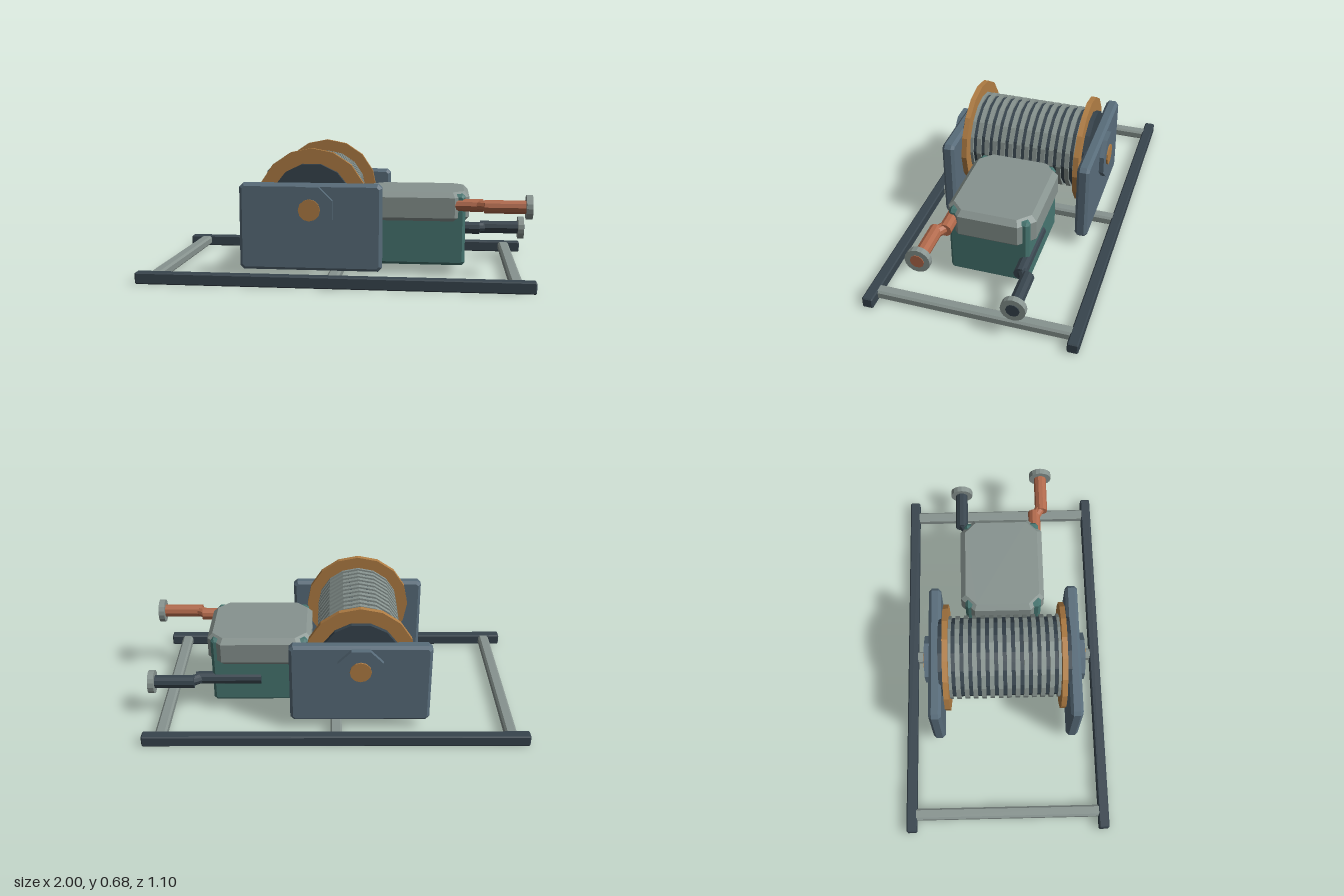
import * as THREE from 'three';

const mat = (name, color) => new THREE.MeshStandardMaterial({ name, color, flatShading: true });

export function createModel() {
  const dark = mat('dark slate', 0x37444d);
  const blue = mat('steel blue', 0x586c7a);
  const grey = mat('pale grey', 0x87938f);
  const teal = mat('teal', 0x467570);
  const brass = mat('brass', 0xb07d44);
  const copper = mat('copper', 0xb1694b);

  const model = new THREE.Group();
  model.name = 'winch';

  const add = (name, geometry, material, x, y, z) => {
    const mesh = new THREE.Mesh(geometry, material);
    mesh.name = name;
    mesh.position.set(x, y, z);
    model.add(mesh);
    return mesh;
  };

  // Block with cut corners (c) and bevelled rims (b); thickness d runs along z
  const slab = (w, h, d, c, b) => {
    const x = w / 2, y = h / 2;
    const shape = new THREE.Shape([
      [-x + c, -y], [x - c, -y], [x, -y + c], [x, y - c],
      [x - c, y], [-x + c, y], [-x, y - c], [-x, -y + c],
    ].map(([u, v]) => new THREE.Vector2(u, v)));
    return new THREE.ExtrudeGeometry(shape, {
      depth: d - 2 * b, bevelThickness: b, bevelSize: b, bevelOffset: -b, bevelSegments: 1,
    }).translate(0, 0, b - d / 2);
  };

  // Prism along z, turned by a fraction of one side
  const disc = (r, d, sides, turn = 0) =>
    new THREE.CylinderGeometry(r, r, d, sides)
      .rotateY(turn * Math.PI * 2 / sides).rotateX(Math.PI / 2);

  // Base frame
  for (const s of [1, -1]) add('baseRail', slab(2, 0.06, 0.056, 0.006, 0.006), dark, 0, 0.03, s * 0.522);
  for (const x of [-0.905, 0, 0.905]) add('crossBar', slab(0.06, 0.05, 1.02, 0.01, 0.004), grey, x, 0.033, 0);

  // Side plates and bearings
  const axisX = -0.125, shaftY = 0.374, drumY = 0.391;
  for (const s of [1, -1]) {
    add('sidePlate', slab(0.73, 0.446, 0.066, 0.02, 0.015), blue, axisX, 0.281, s * 0.368);
    add('bearing', disc(0.126, 0.03, 8, 0.5), blue, axisX, shaftY, s * 0.411);
    add('drumFlange', disc(0.286, 0.028, 16), brass, axisX, drumY, s * 0.307);
  }
  add('shaft', disc(0.056, 0.868, 12), brass, axisX, shaftY, 0);

  // Drum with cable turns
  add('drum', disc(0.212, 0.694, 14, 0.5), dark, axisX, drumY, 0);
  const turns = 14;
  for (let i = 0; i < turns; i++) {
    add('cableTurn', disc(0.224, 0.024, 16), grey, axisX, drumY, -0.29 + i * 0.58 / (turns - 1));
  }

  // Motor housing and cover
  add('motorBody', slab(0.51, 0.375, 0.414, 0.015, 0.015), teal, 0.405, 0.2475, 0);
  add('motorCover', slab(0.55, 0.456, 0.16, 0.075, 0.027).rotateX(-Math.PI / 2), grey, 0.405, 0.365, -0.003);

  // Pipes: inner run, offset joint, outer run and end flange
  const rod = (name, a, b, r, material) => {
    const dir = b.clone().sub(a);
    const mid = a.clone().add(b).multiplyScalar(0.5);
    const mesh = add(name, new THREE.CylinderGeometry(r, r, dir.length(), 10), material, mid.x, mid.y, mid.z);
    mesh.quaternion.setFromUnitVectors(new THREE.Vector3(0, 1, 0), dir.normalize());
  };
  const pipes = [
    { name: 'upperPipe', s: 1, y: 0.378, material: copper },
    { name: 'lowerPipe', s: -1, y: 0.194, material: dark },
  ];
  for (const { name, s, y, material } of pipes) {
    const p = (x, z) => new THREE.Vector3(x, y, s * z);
    rod(name + 'Inner', p(0.4, 0.19), p(0.75, 0.19), 0.034, material);
    rod(name + 'Joint', p(0.715, 0.19), p(0.785, 0.231), 0.029, material);
    rod(name + 'Outer', p(0.755, 0.231), p(1, 0.231), 0.035, material);
    rod(name + 'Flange', p(0.965, 0.231), p(0.997, 0.231), 0.063, grey);
    model.children.at(-1).geometry = new THREE.CylinderGeometry(0.063, 0.063, 0.032, 16);
  }

  return model;
}
